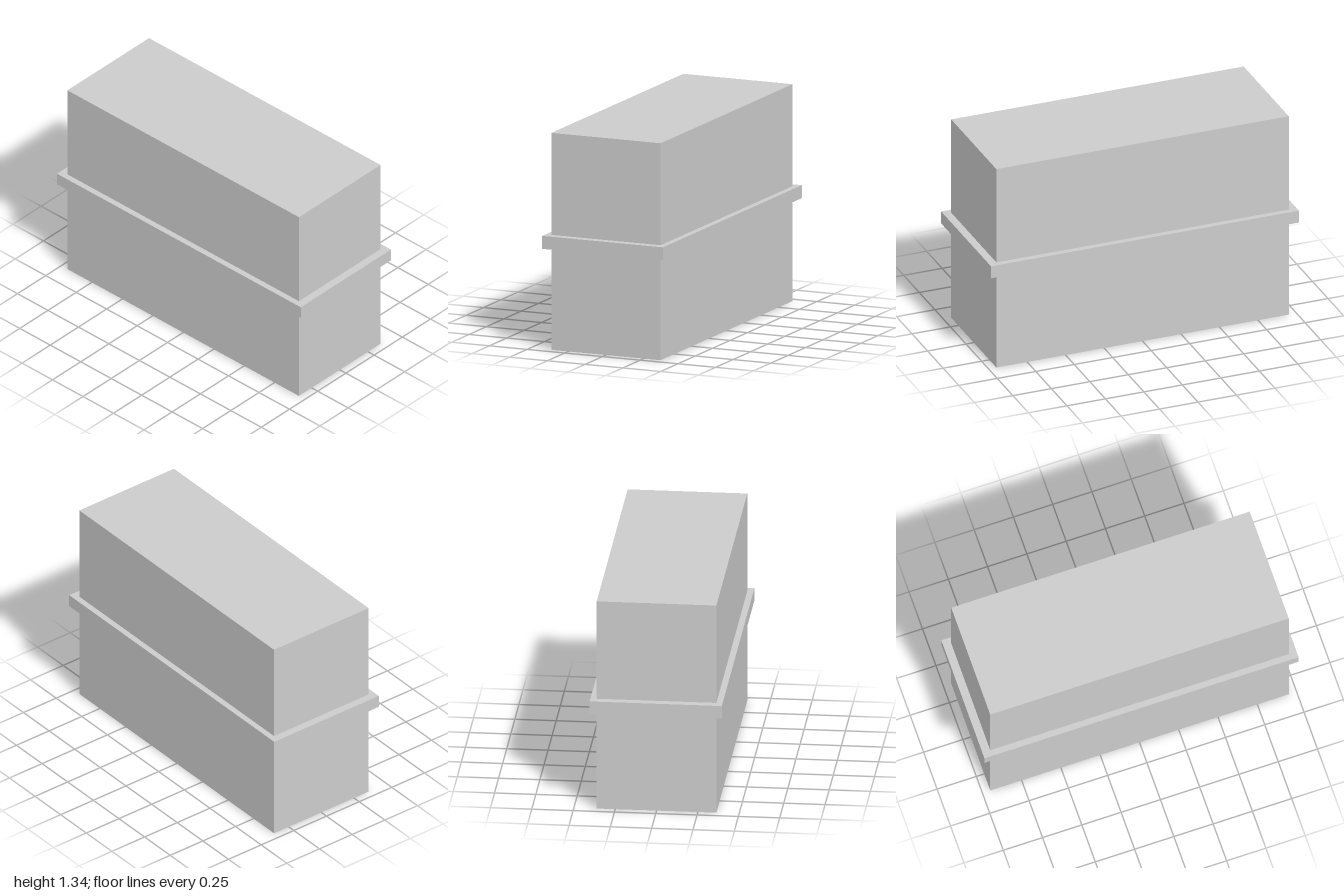
import * as THREE from 'three';

export function createModel() {
  const group = new THREE.Group();
  const material = new THREE.MeshStandardMaterial({ color: 0xcccccc });
  const height = 1.335;

  // Every part is a plain block centred on the model's mid height
  function block(name, width, tall, depth) {
    const mesh = new THREE.Mesh(new THREE.BoxGeometry(width, tall, depth), material);
    mesh.name = name;
    mesh.position.y = height / 2;
    group.add(mesh);
  }

  // Tall main body
  block('body', 1.9, height, 0.724);
  // Projecting band around the middle
  block('middleBand', 2, 0.08, 0.8);

  return group;
}
